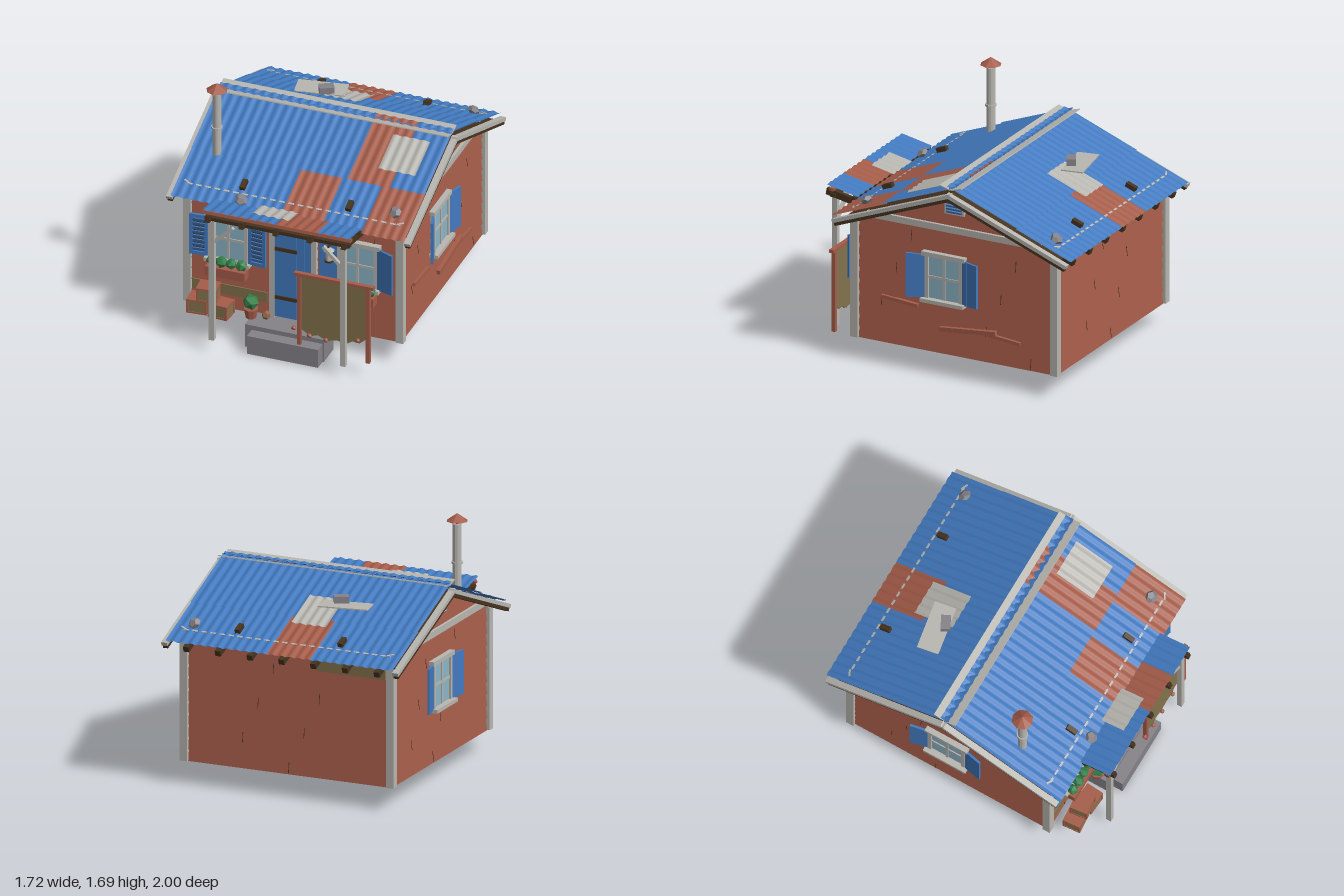
import * as THREE from 'three';

const mat = (name, color, extra = {}) => new THREE.MeshStandardMaterial({ name, color, flatShading: true, ...extra });
const open = { side: THREE.DoubleSide };
const blue = mat('blue paint', 0x427ac0, open), rust = mat('rust red', 0xa55c49, open), pale = mat('pale grey', 0xb8b6b0, open);
const stone = mat('stone grey', 0x858288), olive = mat('olive wood', 0x83734d, open), glass = mat('window glass', 0x8db6c8);
const brown = mat('dark brown', 0x47331f), green = mat('leaf green', 0x35804a), tan = mat('tan', 0x94684a);
const CZ = -0.105, RIDGE = 1.35, SLOPE = 0.385, ANG = Math.atan(SLOPE), COS = Math.cos(ANG);

function add(parent, name, geo, material, x = 0, y = 0, z = 0, rx = 0, ry = 0, rz = 0) {
  const m = new THREE.Mesh(geo, material);
  m.name = name;
  m.position.set(x, y, z);
  m.rotation.set(rx, ry, rz);
  parent.add(m);
  return m;
}
const box = (p, name, m, w, h, d, ...at) => add(p, name, new THREE.BoxGeometry(w, h, d), m, ...at);
function group(parent, name, x = 0, y = 0, z = 0, ry = 0, rx = 0) {
  const g = new THREE.Group();
  g.name = name;
  g.position.set(x, y, z);
  g.rotation.set(rx, ry, 0, 'YXZ');
  parent.add(g);
  return g;
}
function rock(p, name, m, r, x, y, z, flat = 0.65) {
  add(p, name, new THREE.DodecahedronGeometry(r), m, x, y, z, 0.3, x * 9, 0.2).scale.y = flat;
}
const polygon = points => new THREE.Shape(points.map(q => new THREE.Vector2(...q)));

// Corrugated sheet between x0..x1 and z0..z1 at height y
function sheet(p, name, m, x0, x1, z0, z1, y = 0) {
  const g = new THREE.PlaneGeometry(x1 - x0, z1 - z0, Math.ceil((x1 - x0) / 0.008), 1).rotateX(-Math.PI / 2);
  g.translate((x0 + x1) / 2, y, (z0 + z1) / 2);
  const a = g.attributes.position;
  for (let i = 0; i < a.count; i++) a.setY(i, a.getY(i) + 0.0045 * Math.sin(a.getX(i) * 2 * Math.PI / 0.065));
  g.computeVertexNormals();
  add(p, name, g, m);
}

// One wall of lapped boards facing local +z, optionally with a gable
function wall(house, name, ry, seed, gable) {
  const w = group(house, name, 0, 0, CZ, ry), h = 0.083, lap = -0.13;
  for (let i = 0; i < 10; i++) {
    const y = 0.16 + (i + 0.5) * h;
    box(w, 'board', rust, 1.48, h + 0.006, 0.012, 0, y, 0.743, lap);
    if (i % 3 !== 1) box(w, 'boardJoint', brown, 0.004, 0.072, 0.004, ((i * 37 + seed * 5) % 11) / 9 - 0.55, y, 0.749, lap);
  }
  if (!gable) return w;
  const half = y => Math.min(0.75, Math.max(0.01, (1.305 - y) / SLOPE));
  for (let y = 0.99; y < 1.29; y += h) {
    const t = Math.min(y + h, 1.3), a = half(y), b = half(t);
    const s = polygon([[-a, 0], [a, 0], [b, t - y], [-b, t - y]]);
    add(w, 'gableBoard', new THREE.ExtrudeGeometry(s, { depth: 0.014, bevelEnabled: false }), rust, 0, y, 0.736, lap);
  }
  box(w, 'gableTrim', pale, 1.3, 0.045, 0.02, 0, 1.045, 0.757);
  // Louvred gable vent
  box(w, 'ventFrame', pale, 0.145, 0.1, 0.02, 0, 1.205, 0.757);
  for (let i = 0; i < 4; i++) box(w, 'ventSlat', blue, 0.115, 0.014, 0.012, 0, 1.174 + i * 0.021, 0.768, 0.3);
  return w;
}

// Four-pane window with two hinged shutters; origin at the centre of the glass
function windowUnit(parent, x, y, z, louvred, openL, openR) {
  const g = group(parent, 'window', x, y, z);
  box(g, 'glass', glass, 0.25, 0.3, 0.02);
  for (const s of [-1, 1]) box(g, 'frameSide', pale, 0.027, 0.31, 0.036, s * 0.127, 0, 0.005);
  box(g, 'mullion', pale, 0.018, 0.3, 0.026, 0, 0, 0.004);
  box(g, 'glazingBar', pale, 0.25, 0.018, 0.026, 0, 0, 0.004);
  box(g, 'lintel', pale, 0.32, 0.03, 0.045, 0, 0.16, 0.008);
  box(g, 'sill', pale, 0.32, 0.025, 0.07, 0, -0.162, 0.018);
  for (const [s, angle] of [[-1, openL], [1, openR]]) {
    const h = group(g, 'shutter', s * 0.142, 0, 0.014, -s * angle), c = s * 0.063;
    if (louvred) {
      box(h, 'shutterBack', brown, 0.11, 0.29, 0.006, c, 0, -0.004);
      for (const e of [-1, 1]) {
        box(h, 'shutterStile', blue, 0.022, 0.305, 0.02, c + e * 0.052, 0, 0);
        box(h, 'shutterRail', blue, 0.11, 0.025, 0.02, c, e * 0.14, 0);
      }
      for (let i = 0; i < 8; i++) box(h, 'slat', blue, 0.085, 0.025, 0.008, c, -0.112 + i * 0.032, 0.003, 0.3);
    } else {
      for (const e of [-1, 0, 1]) box(h, 'shutterPlank', blue, 0.0418, 0.305 - 0.004 * e, 0.016, c + e * 0.042, 0, 0);
    }
  }
}

function planter(p, x) {
  const g = group(p, 'planter', x, 0.475, 0.715);
  box(g, 'planterBox', rust, 0.28, 0.065, 0.07);
  for (let i = 0; i < 4; i++) add(g, 'shrub', new THREE.IcosahedronGeometry(0.038 + 0.004 * (i % 2)), green, -0.105 + i * 0.07, 0.068, 0, i, i);
}

function crate(p, x, y, z, ry) {
  const g = group(p, 'crate', x, y, z, ry);
  box(g, 'crateBody', olive, 0.13, 0.085, 0.115);
  for (const s of [-1, 1]) {
    for (const e of [-1, 1]) box(g, 'cratePost', rust, 0.014, 0.1, 0.014, s * 0.062, 0, e * 0.055);
    box(g, 'crateRail', rust, 0.138, 0.012, 0.124, 0, s * 0.045, 0);
  }
}

export function createModel() {
  const model = new THREE.Group();
  model.name = 'cabin';

  // Walls, floor and corner boards
  const front = wall(model, 'frontWall', 0, 0, false), back = wall(model, 'backWall', Math.PI, 1, false);
  const left = wall(model, 'leftWall', Math.PI / 2, 2, true), right = wall(model, 'rightWall', -Math.PI / 2, 3, true);
  box(model, 'floorBase', brown, 1.46, 0.02, 1.46, 0, 0.18, CZ);
  for (let i = 0; i < 16; i++) box(model, 'floorBoard', rust, 1.44, 0.014, 0.085, 0, 0.167, CZ - 0.6825 + i * 0.091);
  for (const s of [-1, 1]) {
    box(model, 'sillBeam', pale, 1.46, 0.03, 0.04, 0, 0.17, CZ + s * 0.715);
    box(model, 'sillBeam', pale, 0.04, 0.03, 1.46, s * 0.715, 0.17, CZ);
    for (const e of [-1, 1]) box(model, 'cornerBoard', pale, 0.054, 0.84, 0.054, s * 0.747, 0.58, CZ + e * 0.745);
  }
  box(back, 'repairBoard', olive, 0.5, 0.075, 0.012, 0.46, 0.93, 0.757);
  box(front, 'repairBoard', olive, 0.53, 0.075, 0.01, -0.45, 0.3, 0.756);

  // Side windows and loose planks
  windowUnit(left, -0.075, 0.69, 0.757, false, 0.3, 0.25);
  windowUnit(right, -0.01, 0.69, 0.757, false, 0.2, 0.2);
  box(left, 'loosePlank', rust, 0.27, 0.022, 0.03, -0.41, 0.475, 0.757, 0, 0, -0.08);
  box(left, 'loosePlank', rust, 0.42, 0.03, 0.035, 0.1, 0.355, 0.76, 0, 0, 0.1);
  box(left, 'loosePlank', rust, 0.24, 0.022, 0.03, 0.37, 0.345, 0.757, 0, 0, -0.09);

  // Front windows with planters
  windowUnit(model, -0.455, 0.695, 0.655, true, 0.08, 0.08);
  windowUnit(model, 0.455, 0.695, 0.655, false, 0.05, 0.35);
  planter(model, -0.45);
  planter(model, 0.455);

  // Door
  const door = group(model, 'door', 0, 0.52, 0.655);
  for (let i = 0; i < 5; i++) box(door, 'doorPlank', blue, 0.0505, 0.68, 0.022, -0.104 + i * 0.052, 0, 0);
  for (const s of [-1, 1]) box(door, 'doorPost', pale, 0.036, 0.7, 0.045, s * 0.148, 0, 0);
  box(door, 'doorLintel', pale, 0.33, 0.04, 0.045, 0, 0.355, 0.002);
  box(door, 'doorHeader', pale, 0.48, 0.065, 0.05, 0, 0.405, 0.005);
  for (const y of [-0.19, 0.18]) box(door, 'hinge', brown, 0.155, 0.025, 0.01, -0.05, y, 0.015);
  add(door, 'knob', new THREE.SphereGeometry(0.017, 8, 6), tan, 0.085, -0.03, 0.028);

  // Main roof, one slope at a time; local z runs down the slope
  const slope = (name, ry) => group(model, name, 0, RIDGE, CZ, ry, ANG);
  const fr = slope('frontRoof', 0), br = slope('backRoof', Math.PI), frontLen = 0.88 / COS, backLen = 0.894 / COS;
  for (const [r, len] of [[fr, frontLen], [br, backLen]]) {
    box(r, 'roofDeck', brown, 1.62, 0.012, len - 0.08, 0, -0.04, len / 2 - 0.035);
    for (const s of [-1, 1]) {
      box(r, 'bargeBoard', pale, 0.042, 0.026, len, s * 0.837, -0.034, len / 2 - 0.004);
      box(r, 'bargeBatten', brown, 0.035, 0.024, len - 0.01, s * 0.835, -0.058, len / 2 - 0.005);
      box(r, 'peg', brown, 0.035, 0.03, 0.075, s * 0.372, 0.016, 0.75);
      box(r, 'strapEnd', pale, 0.05, 0.005, 0.012, s * 0.75, 0.009, 0.81, 0, s * 0.5);
    }
    box(r, 'strap', pale, 1.5, 0.003, 0.014, 0, 0, 0.815);
  }
  for (let i = 0; i < 7; i++) box(br, 'rafterTail', brown, 0.04, 0.04, 0.2, -0.69 + i * 0.23, -0.066, 0.84);
  const seam = 0.5 / COS, top = -0.035;
  sheet(fr, 'upperSheet', blue, -0.82, 0.28, top, seam, 0.008);
  sheet(fr, 'upperSheet', rust, 0.28, 0.575, top, seam, 0.008);
  sheet(fr, 'upperSheet', blue, 0.575, 0.82, top, seam, 0.008);
  [[blue, -0.82, -0.05], [rust, -0.05, 0.24], [blue, 0.24, 0.52], [rust, 0.52, 0.82]]
    .forEach(([m, a, b]) => sheet(fr, 'lowerSheet', m, a, b, seam - 0.03, frontLen));
  sheet(fr, 'patchSheet', pale, 0.45, 0.71, 0.115, 0.41, 0.02);
  sheet(br, 'upperSheet', blue, -0.82, 0.82, top, 0.54, 0.008);
  [[blue, -0.82, -0.09], [rust, -0.09, 0.225], [blue, 0.225, 0.82]]
    .forEach(([m, a, b]) => sheet(br, 'lowerSheet', m, a, b, 0.52, backLen));
  sheet(br, 'patchSheet', pale, -0.05, 0.2, 0.315, 0.622, 0.02);
  rock(fr, 'roofStone', stone, 0.044, 0.69, 0.024, 0.735);
  rock(fr, 'roofStone', stone, 0.044, -0.34, 0.028, 0.885);
  rock(br, 'roofStone', stone, 0.044, -0.69, 0.024, 0.765);
  box(model, 'looseSheet', pale, 0.34, 0.008, 0.15, -0.25, 1.247, -0.495, 0, 0.17);
  box(model, 'brick', stone, 0.1, 0.045, 0.065, -0.2, 1.275, -0.455, 0, 0.5);
  // Upturned ridge flaps
  for (const s of [-1, 1]) box(model, 'ridgeFlap', pale, 1.64, 0.007, 0.08, 0, 1.358, CZ + s * 0.042, -s * 0.28);

  // Stove pipe
  const pipe = group(model, 'chimney', -0.645, 0, 0.385);
  add(pipe, 'pipe', new THREE.CylinderGeometry(0.03, 0.03, 0.48, 12), pale, 0, 1.38);
  add(pipe, 'collar', new THREE.CylinderGeometry(0.038, 0.038, 0.015, 12), pale, 0, 1.355);
  add(pipe, 'pipeNeck', new THREE.CylinderGeometry(0.012, 0.012, 0.04, 6), brown, 0, 1.63);
  add(pipe, 'pipeCap', new THREE.ConeGeometry(0.072, 0.052, 8), rust, 0, 1.665);

  // Porch roof, tilted up away from the wall
  const porch = group(model, 'porchRoof', 0, 1.055, 0.865, 0, -0.2);
  [[blue, -0.52, 0], [rust, 0, 0.29], [blue, 0.29, 0.52]]
    .forEach(([m, a, b]) => sheet(porch, 'porchSheet', m, a, b, -0.115, 0.118, 0.006));
  sheet(porch, 'patchSheet', pale, -0.2, 0.06, -0.135, 0.035, 0.018);
  for (let i = 0; i < 5; i++) box(porch, 'porchRafter', brown, 0.032, 0.046, 0.335, -0.48 + i * 0.24, -0.054, -0.045);
  for (const z of [-0.09, 0.08]) box(porch, 'porchBatten', z > 0 ? rust : brown, 1.04, 0.022, 0.03, 0, -0.018, z);
  for (const s of [-1, 1]) {
    box(model, 'porchPost', pale, 0.036, 0.91, 0.036, s * 0.462, 0.54, 0.942);
    box(model, 'porchBrace', pale, 0.022, 0.19, 0.024, s * 0.385, 0.895, 0.938, 0, 0, s * 0.8);
  }
  box(model, 'porchBeam', brown, 1.02, 0.025, 0.035, 0, 1.01, 0.942);

  // Steps
  box(model, 'upperStep', stone, 0.555, 0.17, 0.175, -0.002, 0.085, 0.733);
  box(model, 'lowerStep', stone, 0.5, 0.135, 0.09, 0.018, 0.07, 0.86);

  // Net hung on a rail, with floats along its scalloped hem
  const rack = group(model, 'netRack', 0, 0, 0.875);
  box(rack, 'rackPost', rust, 0.026, 0.54, 0.026, 0.125, 0.41, 0);
  box(rack, 'rackPost', rust, 0.026, 0.58, 0.026, 0.61, 0.39, 0);
  box(rack, 'rackRail', rust, 0.56, 0.022, 0.03, 0.37, 0.675, 0);
  const hem = polygon([[0.14, 0.665], [0.14, 0.26], [0.2, 0.215], [0.255, 0.235], [0.32, 0.205], [0.39, 0.225],
    [0.45, 0.21], [0.5, 0.24], [0.55, 0.235], [0.595, 0.275], [0.595, 0.665]]);
  add(rack, 'net', new THREE.ExtrudeGeometry(hem, { depth: 0.008, bevelEnabled: false }), olive, 0, 0, -0.004);
  for (const [x, y] of [[0.09, 0.26], [0.2, 0.225], [0.315, 0.215], [0.45, 0.225], [0.54, 0.26]])
    add(rack, 'float', new THREE.IcosahedronGeometry(0.018), rust, x, y, 0.012);

  // Lantern
  const lamp = group(model, 'lantern', 0.277, 0.77, 0.73);
  add(lamp, 'lanternBody', new THREE.CylinderGeometry(0.026, 0.026, 0.075, 8), pale);
  add(lamp, 'lanternCap', new THREE.ConeGeometry(0.038, 0.03, 8), pale, 0, 0.05);
  add(lamp, 'lanternBase', new THREE.CylinderGeometry(0.032, 0.032, 0.012, 8), brown, 0, -0.04);
  box(lamp, 'lanternBracket', brown, 0.012, 0.012, 0.09, 0, 0.068, -0.03);

  // Crates, potted shrub and stone by the door
  crate(model, -0.62, 0.235, 0.775, 0.08);
  crate(model, -0.46, 0.235, 0.785, -0.08);
  crate(model, -0.55, 0.34, 0.785, 0.12);
  add(model, 'pot', new THREE.CylinderGeometry(0.05, 0.036, 0.07, 8), rust, -0.27, 0.215, 0.735);
  add(model, 'potShrub', new THREE.IcosahedronGeometry(0.056), green, -0.27, 0.295, 0.735, 0.4, 0.5);
  rock(model, 'doorStone', tan, 0.03, -0.165, 0.215, 0.73, 1.1);
  return model;
}
